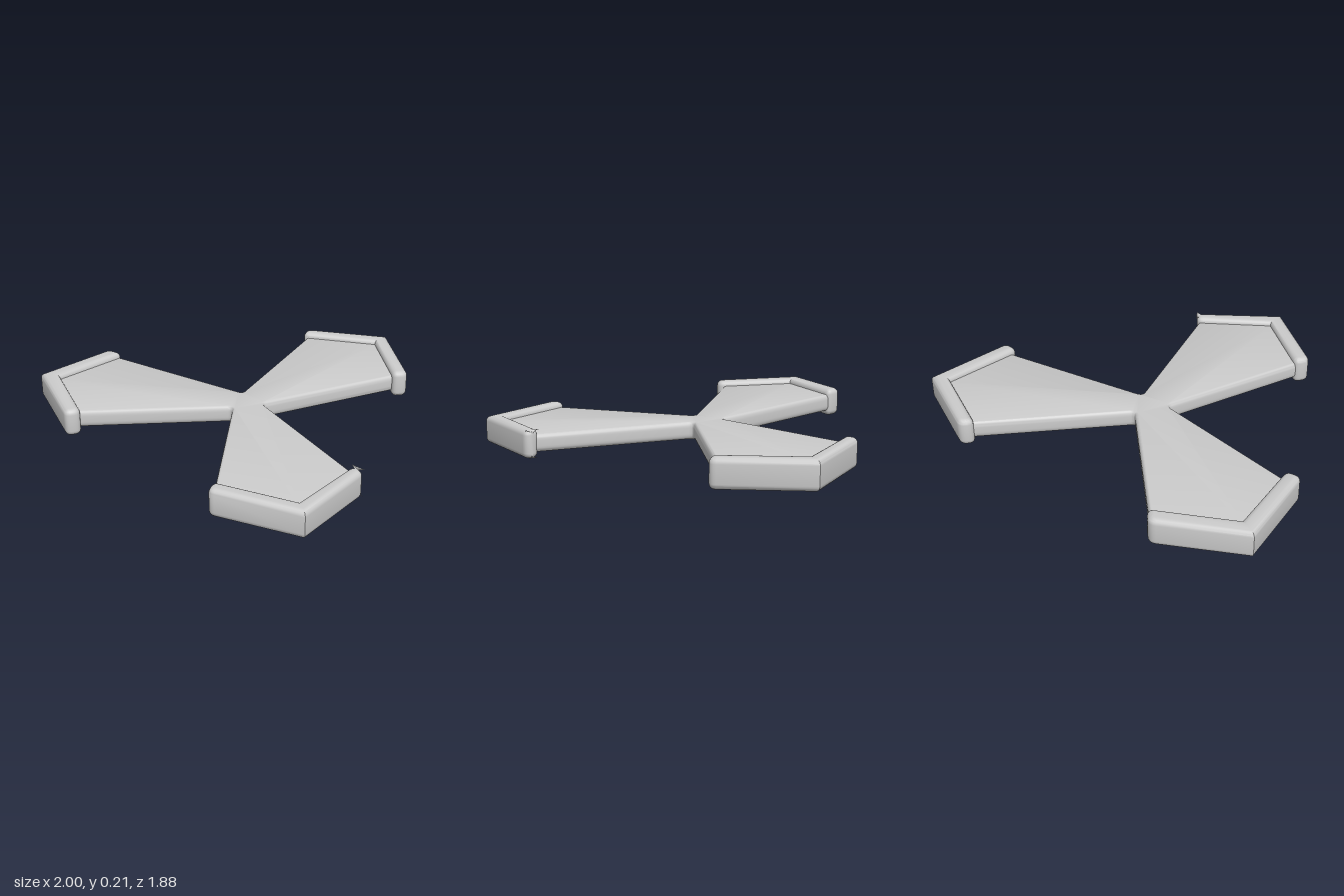
import * as THREE from 'three';
import { toCreasedNormals } from 'three/addons/utils/BufferGeometryUtils.js';

const material = new THREE.MeshStandardMaterial({ color: 0xcccccc });

// Height of the slightly tilted middle plane
const midHeight = (x, z) => 0.103 - 0.009 * x - 0.033 * z;

// Polygon of [x, z, cornerRadius] points, corners with a radius are rounded
function roundedShape(points) {
  const shape = new THREE.Shape();
  const v = points.map(([x, z]) => new THREE.Vector2(x, z));
  const n = v.length;
  v.forEach((p, i) => {
    const r = points[i][2] || 0;
    const toward = (q) => q.clone().sub(p).setLength(r).add(p);
    const a = r ? toward(v[(i + n - 1) % n]) : p;
    if (i === 0) shape.moveTo(a.x, a.y);
    else shape.lineTo(a.x, a.y);
    if (r) {
      const b = toward(v[(i + 1) % n]);
      shape.quadraticCurveTo(p.x, p.y, b.x, b.y);
    }
  });
  shape.closePath();
  return shape;
}

// Flat slab with softened edges, sheared onto the tilted middle plane
function slab(name, points, height, bevelSize, bevelThickness) {
  const depth = height - 2 * bevelThickness;
  const geometry = new THREE.ExtrudeGeometry(roundedShape(points), {
    depth, bevelEnabled: true, bevelSize, bevelThickness,
    bevelOffset: -bevelSize, bevelSegments: 5, curveSegments: 5,
  });
  geometry.translate(0, 0, -depth / 2);
  geometry.rotateX(Math.PI / 2);
  const pos = geometry.attributes.position;
  for (let i = 0; i < pos.count; i++) {
    pos.setY(i, pos.getY(i) + midHeight(pos.getX(i), pos.getZ(i)));
  }
  const mesh = new THREE.Mesh(toCreasedNormals(geometry, 0.6), material);
  mesh.name = name;
  return mesh;
}

export function createModel() {
  const group = new THREE.Group();
  group.name = 'threeArmedPlate';

  // Three flared blades joined at a narrow hub
  group.add(slab('blades', [
    [-0.1, -0.15, 0.025], [-0.415, 0.605], [-0.084, 0.88], [0.27, 0.65],
    [0.066, -0.147, 0.025], [0.875, -0.257], [0.95, -0.68], [0.57, -0.865],
    [-0.003, -0.297, 0.02], [-0.555, -0.905], [-0.95, -0.72], [-0.9, -0.315],
  ], 0.09, 0.016, 0.03));

  // Raised rim around each blade tip: outer end, tip, end, then back inside
  const r = 0.036;
  const rims = {
    frontRim: [[-0.455, 0.632, r], [-0.086, 0.937], [0.303, 0.672, r],
      [0.265, 0.612, r], [-0.08, 0.834], [-0.405, 0.562, r]],
    leftRim: [[0.925, -0.22, r], [1, -0.7], [0.588, -0.918, r],
      [0.54, -0.858, r], [0.91, -0.658], [0.84, -0.23, r]],
    rightRim: [[-0.585, -0.955, r], [-1, -0.75], [-0.95, -0.272, r],
      [-0.867, -0.28, r], [-0.904, -0.7], [-0.525, -0.884, r]],
  };
  for (const [name, points] of Object.entries(rims)) {
    group.add(slab(name, points, 0.146, 0.028, 0.028));
  }
  return group;
}
